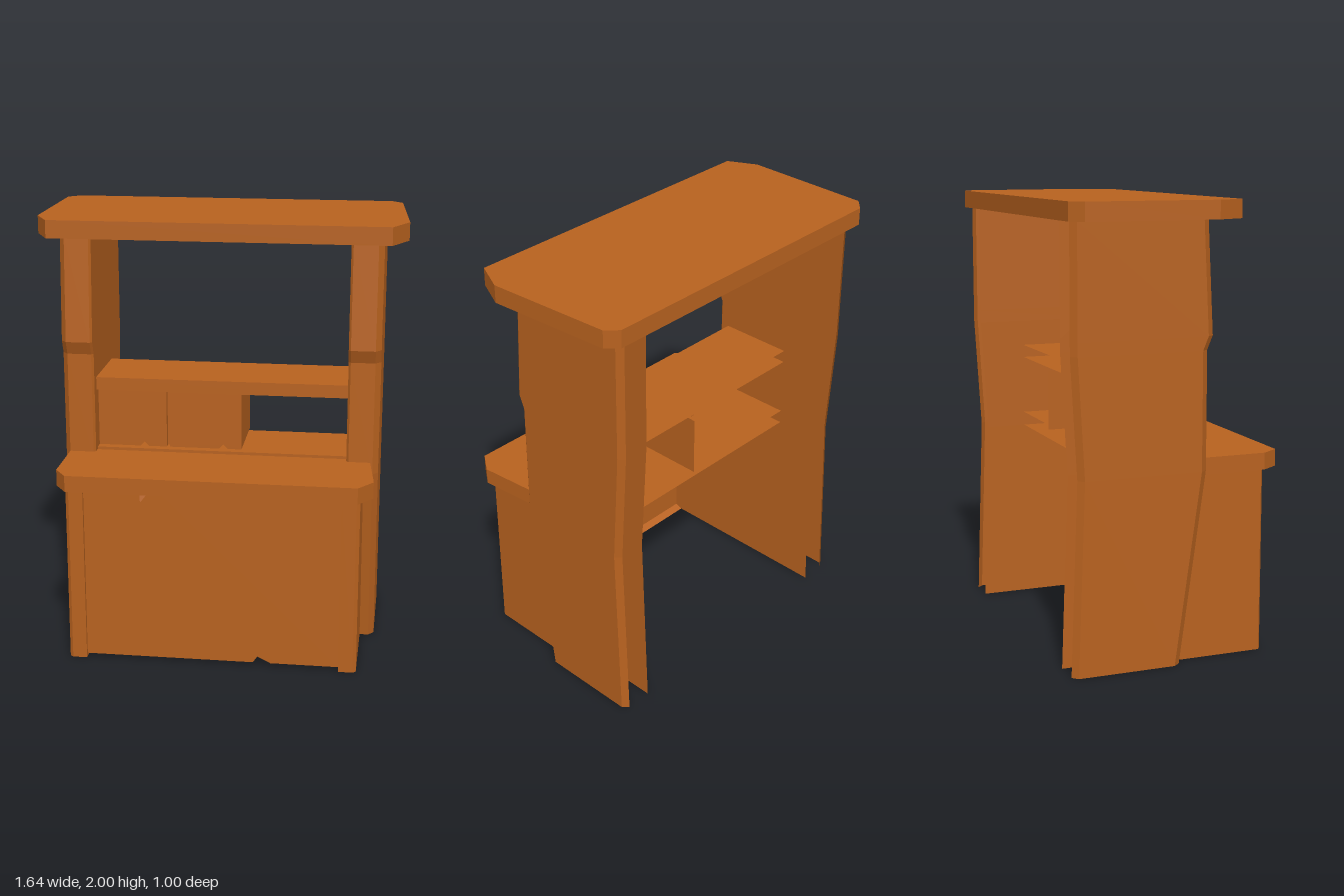
import * as THREE from 'three';

const wood = new THREE.MeshStandardMaterial({ color: 0xb8621f, flatShading: true, side: THREE.DoubleSide });

function add(parent, name, geometry) {
  const mesh = new THREE.Mesh(geometry, wood);
  mesh.name = name;
  parent.add(mesh);
  return mesh;
}

// Flat slab from an [x, z] outline, between two heights
function slab(outline, y0, y1) {
  const shape = new THREE.Shape(outline.map(([x, z]) => new THREE.Vector2(x, -z)));
  const geo = new THREE.ExtrudeGeometry(shape, { depth: y1 - y0, bevelEnabled: false });
  return geo.rotateX(-Math.PI / 2).translate(0, y0, 0);
}

// Upright sheet from an [x, y] outline at depth z
function sheet(outline, z) {
  const shape = new THREE.Shape(outline.map(([x, y]) => new THREE.Vector2(x, y)));
  return new THREE.ShapeGeometry(shape).translate(0, 0, z);
}

// Open skin through a list of cross-sections with equal point counts
function skin(sections) {
  const pos = [];
  for (let i = 0; i < sections.length - 1; i++) {
    const a = sections[i], b = sections[i + 1];
    for (let j = 0; j < a.length - 1; j++) {
      pos.push(...a[j], ...a[j + 1], ...b[j + 1], ...a[j], ...b[j + 1], ...b[j]);
    }
  }
  const geo = new THREE.BufferGeometry();
  geo.setAttribute('position', new THREE.Float32BufferAttribute(pos, 3));
  geo.computeVertexNormals();
  return geo;
}

// Mirrors sections across the middle of the stall (x = -0.01)
const mirror = (sections) => sections.map((s) => s.map(([x, y, z]) => [-0.02 - x, y, z]).reverse());

const X0 = -0.59, X1 = 0.57; // inner faces of the side walls

export function createModel() {
  const stall = new THREE.Group();
  stall.name = 'marketStall';

  // Roof and counter slabs with cut corners
  add(stall, 'roof', slab([[-0.825, -0.45], [-0.825, 0.14], [-0.76, 0.27], [0.75, 0.27],
    [0.82, 0.125], [0.78, -0.45], [0.73, -0.5], [-0.77, -0.5]], 1.92, 2));
  add(stall, 'counterTop', slab([[-0.71, 0.1], [-0.71, 0.42], [-0.655, 0.5], [0.64, 0.5],
    [0.705, 0.41], [0.675, 0.1]], 0.83, 0.905));

  // Hollow side walls, open at the back: [y, front z, back z] per level
  const levels = [[0, 0.02, -0.475], [0.85, 0.14, -0.445], [1.37, 0.14, -0.475],
    [1.43, 0.165, -0.475], [1.92, 0.14, -0.475]];
  const wall = levels.map(([y, f, b]) => [[0.69, y, b], [0.715, y, b + 0.025],
    [0.715, y, f - 0.03], [0.69, y, f], [0.58, y, f], [X1, y, f - 0.01], [X1, y, b]]);
  add(stall, 'leftWall', skin(wall));
  add(stall, 'rightWall', skin(mirror(wall)));

  // Hollow ends of the counter with chamfered corner posts
  const end = [0, 0.83].map((y) => [[0.65, y, 0], [0.65, y, 0.425], [0.635, y, 0.437],
    [X1, y, 0.437], [X1, y, 0]]);
  add(stall, 'leftCounterEnd', skin(end));
  add(stall, 'rightCounterEnd', skin(mirror(end)));

  // Counter front with a chipped top and bottom edge
  add(stall, 'counterFront', sheet([[X0, 0.015], [0.18, 0.015], [0.2, 0.045], [0.26, 0.015],
    [X1, 0.015], [X1, 0.83], [-0.26, 0.83], [-0.31, 0.815], [-0.33, 0.805], [-0.36, 0.83], [X0, 0.83]], 0.42));
  for (const [a, b] of [[X0, 0.18], [0.26, X1]]) {
    add(stall, 'frontBottomLip', skin([[[a, 0, 0.385], [b, 0, 0.385]], [[a, 0.015, 0.42], [b, 0.015, 0.42]]]));
  }
  add(stall, 'splinter', skin([[[-0.335, 0.815, 0.42], [-0.33, 0.77, 0.43]],
    [[-0.29, 0.82, 0.42], [-0.33, 0.77, 0.43]]]));

  // Shelves: top, front and underside, open at the back
  for (const [name, y0, y1] of [['upperShelf', 1.19, 1.25], ['lowerShelf', 0.85, 0.915]]) {
    const profile = (x) => [[x, y0, -0.26], [x, y0, 0.09], [x, y1, 0.09], [x, y1, -0.26]];
    add(stall, name, skin([profile(X1), profile(X0)]));
  }

  // Two cupboard fronts, chipped at the bottom, with a groove between
  for (const [a, b, chip] of [[X0, -0.27, -0.375], [-0.255, 0.08, -0.005]]) {
    add(stall, 'cupboardFront', sheet([[a, 0.915], [chip - 0.02, 0.915], [chip, 0.935],
      [chip + 0.02, 0.915], [b, 0.915], [b, 1.19], [a, 1.19]], 0.05));
  }
  const groove = (y) => [[-0.27, y, 0.05], [-0.27, y, 0.02], [-0.255, y, 0.02], [-0.255, y, 0.05]];
  add(stall, 'cupboardGroove', skin([groove(0.915), groove(1.19)]));
  add(stall, 'cupboardSide', skin([[[0.08, 0.915, 0.05], [0.08, 0.915, -0.3]],
    [[0.08, 1.19, 0.05], [0.08, 1.19, -0.3]]]));

  return stall;
}
